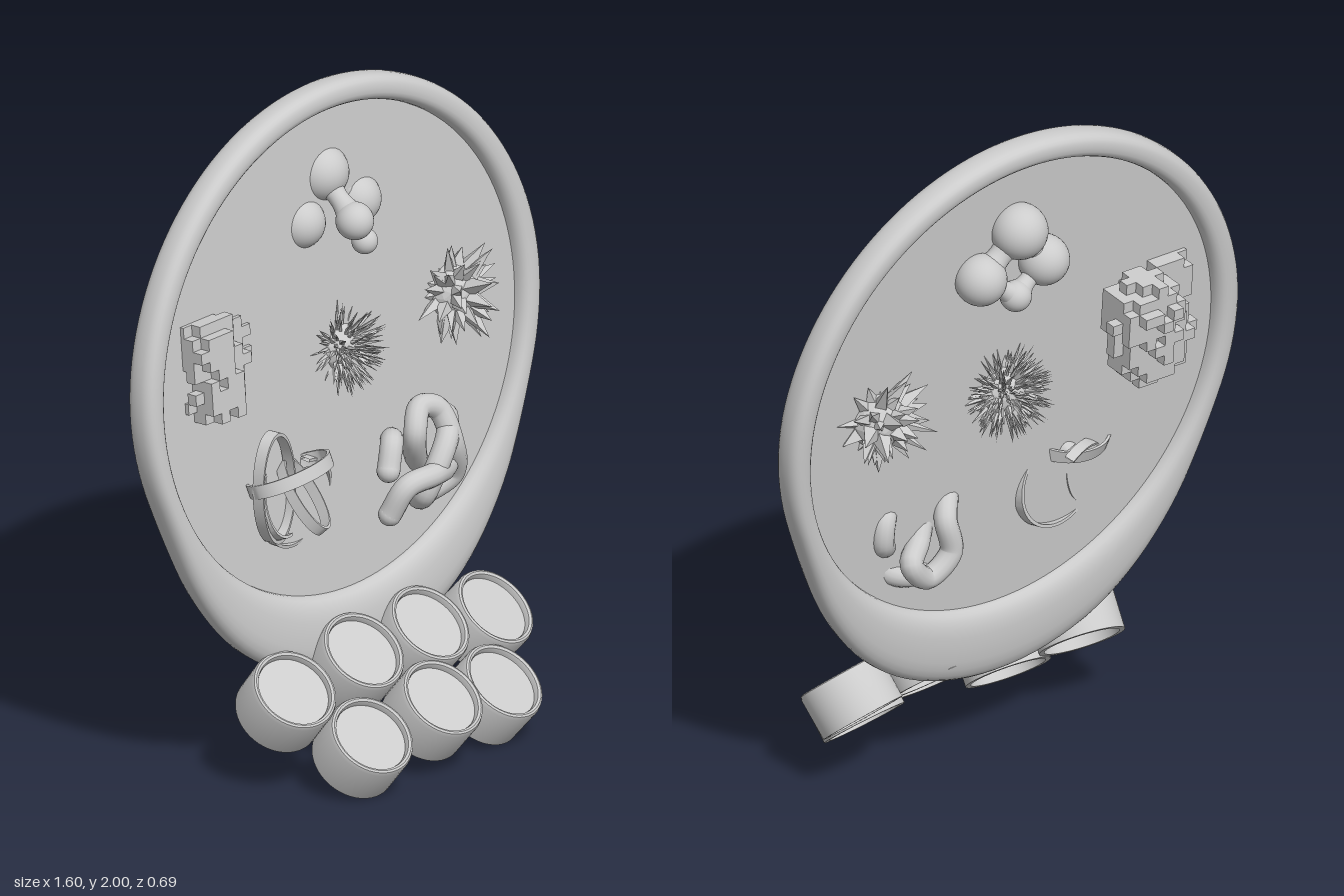
import * as THREE from 'three';
import { mergeGeometries, toCreasedNormals } from 'three/addons/utils/BufferGeometryUtils.js';

const smooth = new THREE.MeshStandardMaterial({ color: 0xcccccc, side: THREE.DoubleSide });
const faceted = new THREE.MeshStandardMaterial({ color: 0xcccccc, flatShading: true, side: THREE.DoubleSide });
const V = (x, y, z = 0) => new THREE.Vector3(x, y, z);
const UP = V(0, 1, 0);

function seeded(s) {
  return () => (s = (s * 16807) % 2147483647) / 2147483647;
}

function add(parent, name, geometry, material = smooth) {
  const mesh = new THREE.Mesh(geometry, material);
  mesh.name = name;
  parent.add(mesh);
  return mesh;
}

// Rounded ring around a circular opening, widening to a chin at the bottom
function frameGeometry() {
  const segs = 128, ring = 24, inner = 0.72, pos = [], idx = [];
  // outer radius against the angle measured from straight down
  const table = [[0, 0.955], [14, 0.945], [27, 0.92], [45, 0.85], [63, 0.79], [80, 0.795], [95, 0.803], [180, 0.8]];
  const outerAt = (deg) => {
    let i = 0;
    while (i < table.length - 2 && deg > table[i + 1][0]) i++;
    const [a, ra] = table[i], [b, rb] = table[i + 1];
    return THREE.MathUtils.lerp(ra, rb, (deg - a) / (b - a));
  };
  const softened = (deg) => {
    let sum = 0;
    for (let k = -4; k <= 4; k++) {
      const d = Math.abs(deg + k * 2);
      sum += outerAt(d > 180 ? 360 - d : d);
    }
    return sum / 9;
  };
  const power = (v) => Math.sign(v) * Math.abs(v) ** 0.8;
  for (let i = 0; i < segs; i++) {
    const a = (i / segs) * Math.PI * 2;
    const deg = i <= segs / 2 ? (i / segs) * 360 : 360 - (i / segs) * 360;
    const outer = softened(deg), mid = (outer + inner) / 2, half = (outer - inner) / 2;
    for (let j = 0; j < ring; j++) {
      const b = (j / ring) * Math.PI * 2;
      const r = mid + half * power(Math.cos(b));
      pos.push(Math.sin(a) * r, -Math.cos(a) * r, 0.049 * power(Math.sin(b)));
      const n = ((i + 1) % segs) * ring, m = i * ring, k = (j + 1) % ring;
      idx.push(m + j, n + j, n + k, m + j, n + k, m + k);
    }
  }
  const g = new THREE.BufferGeometry();
  g.setAttribute('position', new THREE.Float32BufferAttribute(pos, 3));
  g.setIndex(idx);
  g.computeVertexNormals();
  return g;
}

// Ball covered in cones of varied length
function spikyBall(count, core, length, base, sides, seed) {
  const rnd = seeded(seed);
  const parts = [new THREE.IcosahedronGeometry(core, 2)];
  for (let i = 0; i < count; i++) {
    const y = 1 - (2 * (i + 0.5)) / count, r = Math.sqrt(1 - y * y), a = i * 2.39996;
    const dir = V(r * Math.cos(a), y, r * Math.sin(a));
    dir.add(V(rnd() - 0.5, rnd() - 0.5, rnd() - 0.5).multiplyScalar(0.45)).normalize();
    const h = length * (0.55 + 0.45 * rnd());
    const cone = new THREE.ConeGeometry(base * (0.7 + 0.5 * rnd()), h, sides, 1).toNonIndexed();
    cone.translate(0, h / 2 + core * 0.75, 0);
    cone.applyQuaternion(new THREE.Quaternion().setFromUnitVectors(UP, dir));
    parts.push(cone);
  }
  return mergeGeometries(parts);
}

// Spheres joined by pinched necks
function blobs(parent) {
  const balls = [
    [V(0.015, 0.52, -0.03), 0.083], [V(-0.08, 0.395, -0.03), 0.075], [V(0.145, 0.4, -0.03), 0.076],
    [V(0.012, 0.4, 0.1), 0.055], [V(0.085, 0.308, 0.06), 0.038], [V(0.03, 0.32, -0.05), 0.046],
  ];
  for (const [p, r] of balls) add(parent, 'blobSphere', new THREE.SphereGeometry(r, 32, 20)).position.copy(p);
  for (const [i, j] of [[0, 1], [0, 2], [0, 3], [1, 5], [2, 5]]) {
    const [a, ra] = balls[i], [b, rb] = balls[j];
    const dir = b.clone().sub(a), len = dir.length(), pts = [];
    for (let k = 0; k <= 12; k++) {
      const t = k / 12;
      const radius = THREE.MathUtils.lerp(ra, rb, t) * (0.92 - 0.5 * Math.sin(t * Math.PI));
      pts.push(new THREE.Vector2(radius, t * len));
    }
    const neck = add(parent, 'blobNeck', new THREE.LatheGeometry(pts, 24));
    neck.position.copy(a);
    neck.quaternion.setFromUnitVectors(UP, dir.normalize());
  }
}

// Stepped cluster of small cubes, larger on the back
function cubeCluster() {
  const s = 0.033, parts = [];
  const lumps = [
    [-0.53, 0.16, 0.01, 0.095, 0.1, 0.075], [-0.5, 0.02, 0.01, 0.1, 0.085, 0.075],
    [-0.44, 0.1, 0.0, 0.07, 0.06, 0.06], [-0.41, 0.15, -0.08, 0.11, 0.1, 0.09],
    [-0.46, 0.03, -0.06, 0.13, 0.13, 0.075],
  ];
  for (let i = -20; i < -7; i++) for (let j = -4; j < 9; j++) for (let k = -6; k < 4; k++) {
    const x = i * s, y = j * s, z = k * s;
    const wobble = 0.25 * Math.sin(i * 2.3 + j * 1.7) * Math.cos(k * 2.1 + j);
    const inside = lumps.some(([a, b, c, p, q, r]) =>
      ((x - a) / p) ** 2 + ((y - b) / q) ** 2 + ((z - c) / r) ** 2 < 1 + wobble);
    if (inside) parts.push(new THREE.BoxGeometry(s, s, s).translate(x, y, z));
  }
  return mergeGeometries(parts);
}

// Flat band bent into an oval (or part of one)
function ribbon(parent, rx, ry, width, pos, rot, start = 0, arc = Math.PI * 2) {
  const t = 0.009, w = width / 2;
  const profile = [[1, -w], [1 + t * 8, -w], [1 + t * 8, w], [1, w], [1, -w]].map(([x, y]) => new THREE.Vector2(x, y));
  const g = new THREE.LatheGeometry(profile, 64, start, arc);
  g.rotateX(Math.PI / 2).scale(rx, ry, 1);
  const mesh = add(parent, 'ribbonLoop', toCreasedNormals(g, 0.6));
  mesh.position.set(...pos);
  mesh.rotation.set(...rot);
}

// Open tube with a thick rim and a recessed disc
function cup(parent, x, y, z) {
  const g = new THREE.Group();
  g.name = 'cup';
  const profile = [[0.128, -0.14], [0.129, -0.014], [0.125, -0.003], [0.119, 0], [0.112, -0.004], [0.109, -0.014], [0.112, -0.14], [0.128, -0.14]];
  const wall = new THREE.LatheGeometry(profile.map(([r, h]) => new THREE.Vector2(r, h)), 48);
  add(g, 'cupWall', toCreasedNormals(wall, 0.7));
  const disc = add(g, 'cupDisc', new THREE.CircleGeometry(0.112, 48));
  disc.rotation.x = -Math.PI / 2;
  disc.position.y = -0.022;
  g.position.set(x, y, z);
  g.rotation.set(0.68, 0, -0.38 * x, 'ZXY');
  parent.add(g);
}

export function createModel() {
  const model = new THREE.Group();
  model.name = 'displayPalette';

  // Leaning board
  const board = new THREE.Group();
  board.name = 'board';
  board.position.set(0, 1.2, -0.155);
  board.rotation.x = -0.085;
  model.add(board);
  add(board, 'frame', frameGeometry());
  add(board, 'panel', new THREE.CylinderGeometry(0.728, 0.728, 0.008, 96).rotateX(Math.PI / 2));

  // Samples set through the panel
  blobs(board);
  add(board, 'cubeCluster', cubeCluster(), faceted);
  add(board, 'fineSpikes', spikyBall(420, 0.075, 0.1, 0.009, 4, 11), faceted).position.set(0.03, -0.01, -0.02);
  add(board, 'coarseSpikes', spikyBall(75, 0.085, 0.115, 0.03, 4, 29), faceted).position.set(0.47, 0.03, 0);

  // Knotted tube
  const path = [
    [0.115, -0.53, 0.06], [0.15, -0.45, 0.1], [0.25, -0.44, 0.11], [0.35, -0.45, 0.06], [0.42, -0.4, 0.0],
    [0.41, -0.33, 0.01], [0.33, -0.36, 0.09], [0.24, -0.5, 0.08], [0.3, -0.54, 0.0], [0.4, -0.5, 0.03],
    [0.36, -0.38, 0.08], [0.34, -0.28, 0.05], [0.28, -0.26, 0.04], [0.235, -0.32, 0.06], [0.29, -0.43, 0.0],
    [0.35, -0.47, -0.05], [0.29, -0.53, -0.05], [0.21, -0.47, -0.05], [0.22, -0.37, -0.03], [0.16, -0.33, 0.04], [0.12, -0.4, 0.06],
  ].map((p) => V(...p));
  const curve = new THREE.CatmullRomCurve3(path);
  add(board, 'knotTube', new THREE.TubeGeometry(curve, 240, 0.034, 14));
  for (const p of [path[0], path[path.length - 1]]) {
    add(board, 'knotEnd', new THREE.SphereGeometry(0.034, 16, 12)).position.copy(p);
  }

  // Looped ribbons
  ribbon(board, 0.085, 0.165, 0.035, [-0.315, -0.32, 0.04], [0.1, 0.25, 0.12]);
  ribbon(board, 0.055, 0.115, 0.035, [-0.24, -0.36, 0.08], [-0.75, 0.3, -0.15]);
  ribbon(board, 0.13, 0.095, 0.04, [-0.27, -0.29, 0.06], [1.3, 0.1, 0.1]);
  ribbon(board, 0.15, 0.125, 0.03, [-0.21, -0.4, 0.02], [0.2, 0.2, -0.15], 5.2, 4.2);
  ribbon(board, 0.13, 0.1, 0.03, [-0.25, -0.38, -0.01], [-0.3, 0.4, 0.5], 2.2, 3.6);

  // Two rows of cups in front of the chin
  const cups = [
    [-0.37, 0.32, 0.05], [-0.1, 0.36, 0.06], [0.17, 0.36, 0.06], [0.445, 0.32, 0.05],
    [-0.235, 0.19, 0.225], [0.032, 0.23, 0.245], [0.3, 0.19, 0.225],
  ];
  for (const c of cups) cup(model, ...c);
  return model;
}
